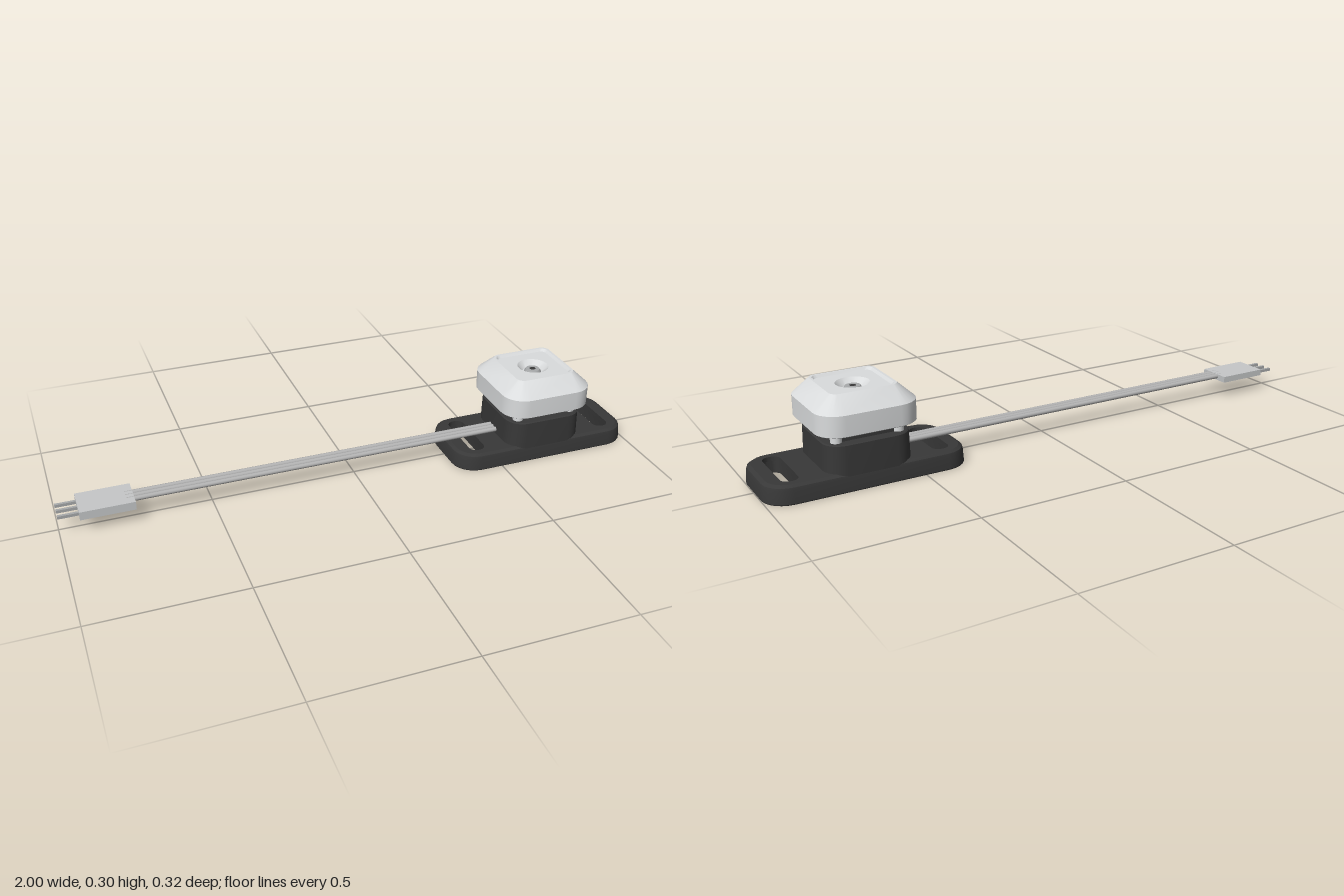
import * as THREE from 'three';
import { toCreasedNormals } from 'three/addons/utils/BufferGeometryUtils.js';

const mat = (name, color) => Object.assign(new THREE.MeshStandardMaterial({ color }), { name });

// Closed outline of a rounded rectangle, as [x, z] pairs
function outline(hx, hz, r, n = 6) {
  const pts = [];
  for (let c = 0; c < 4; c++) {
    const sx = c === 0 || c === 3 ? 1 : -1, sz = c < 2 ? 1 : -1;
    for (let i = 0; i <= n; i++) {
      const a = (c + i / n) * Math.PI / 2;
      pts.push([sx * (hx - r) + r * Math.cos(a), sz * (hz - r) + r * Math.sin(a)]);
    }
  }
  return pts;
}

// Skin over rounded-rectangle rings [hx, hz, cornerRadius, y]
function loft(rings) {
  const pos = [], index = [];
  for (const [hx, hz, r, y] of rings) for (const [x, z] of outline(hx, hz, r)) pos.push(x, y, z);
  const m = pos.length / 3 / rings.length;
  for (let i = 0; i < rings.length - 1; i++) {
    for (let j = 0; j < m; j++) {
      const k = (j + 1) % m, a = i * m + j, b = a + m, c = i * m + k, d = c + m;
      index.push(a, b, c, c, b, d);
    }
  }
  const g = new THREE.BufferGeometry();
  g.setAttribute('position', new THREE.Float32BufferAttribute(pos, 3));
  g.setIndex(index);
  return toCreasedNormals(g, 0.5);
}

// Upright slab with rounded-rectangle holes given as [cx, hx, hz, r]
function slab(hx, hz, r, y0, y1, holes = []) {
  const path = (o, cx = 0) => o.map(([x, z]) => new THREE.Vector2(x + cx, z));
  const s = new THREE.Shape(path(outline(hx, hz, r)));
  for (const [cx, a, b, c] of holes) s.holes.push(new THREE.Path(path(outline(a, b, c), cx)));
  const g = new THREE.ExtrudeGeometry(s, { depth: y1 - y0, bevelEnabled: false });
  g.rotateX(-Math.PI / 2).translate(0, y0, 0);
  return toCreasedNormals(g, 0.5);
}

export function createModel() {
  const dark = mat('black plastic', 0x383838);
  const white = mat('white plastic', 0xdadcdd);
  const grey = mat('grey connector', 0xc6c8c9);
  const wire = mat('wire grey', 0xb4b4b4);
  const metal = mat('screw metal', 0xa8aaab);

  const model = new THREE.Group();
  const head = new THREE.Group();
  head.name = 'buttonUnit';
  head.position.x = 0.67;
  model.add(head);

  const add = (parent, name, geo, material, x = 0, y = 0, z = 0) => {
    const mesh = new THREE.Mesh(geo, material);
    mesh.name = name;
    mesh.position.set(x, y, z);
    parent.add(mesh);
    return mesh;
  };
  const box = (parent, name, m, x0, x1, y0, y1, z0, z1) =>
    add(parent, name, new THREE.BoxGeometry(x1 - x0, y1 - y0, z1 - z0), m, (x0 + x1) / 2, (y0 + y1) / 2, (z0 + z1) / 2);

  // Hollow base: skirt, slotted top plate and centre pad
  add(head, 'baseSkirt', loft([
    [0.31, 0.125, 0.06, 0.046], [0.31, 0.125, 0.06, 0],
    [0.328, 0.143, 0.078, 0], [0.33, 0.145, 0.08, 0.003], [0.327, 0.142, 0.078, 0.045],
    [0.324, 0.14, 0.075, 0.053], [0.312, 0.13, 0.064, 0.06],
  ]), dark);
  const slots = [-0.245, 0.245].map(x => [x, 0.028, 0.107, 0.026]);
  add(head, 'baseTopPlate', slab(0.312, 0.13, 0.064, 0.045, 0.06, slots), dark);
  add(head, 'basePad', slab(0.14, 0.127, 0.03, 0.004, 0.046), dark);

  // Slot collars and ribs under the base
  for (const s of [-1, 1]) {
    add(head, 'slotCollar', slab(0.04, 0.119, 0.037, 0.006, 0.046, [[0, 0.028, 0.107, 0.026]]), dark, s * 0.245);
    for (const z of [-0.06, 0.06]) {
      box(head, 'innerRib', dark, s * 0.172 - 0.034, s * 0.172 + 0.034, 0.01, 0.046, z - 0.005, z + 0.005);
    }
    box(head, 'endRib', dark, s * 0.298 - 0.014, s * 0.298 + 0.014, 0.01, 0.046, -0.005, 0.005);
  }

  // Body block and neck
  add(head, 'body', loft([
    [0.141, 0.141, 0.06, 0.045], [0.139, 0.139, 0.06, 0.147], [0.135, 0.135, 0.056, 0.15], [0, 0, 0, 0.15],
  ]), dark);
  add(head, 'neck', slab(0.107, 0.107, 0.02, 0.149, 0.182), dark);

  // Guide posts, with the bottom screws on the same axes
  for (const x of [-0.1, 0.1]) {
    for (const z of [-0.1, 0.1]) {
      add(head, 'guidePost', new THREE.CylinderGeometry(0.018, 0.018, 0.036, 20), white, x, 0.166, z);
      add(head, 'bottomScrew', new THREE.CylinderGeometry(0.023, 0.02, 0.008, 20), metal, x, 0.005, z);
      for (const turn of [0, Math.PI / 2]) {
        add(head, 'screwSlot', new THREE.BoxGeometry(0.022, 0.002, 0.005), dark, x, 0.0012, z).rotation.y = turn;
      }
    }
  }

  // Cap with chamfered shoulders, shallow top recess and central pit
  add(head, 'cap', loft([
    [0, 0, 0, 0.181], [0.158, 0.158, 0.072, 0.181], [0.162, 0.162, 0.075, 0.184],
    [0.162, 0.162, 0.075, 0.25], [0.108, 0.108, 0.026, 0.3], [0.1, 0.1, 0.02, 0.3],
    [0.093, 0.093, 0.016, 0.292], [0.054, 0.054, 0.054, 0.292],
    [0.034, 0.034, 0.034, 0.272], [0, 0, 0, 0.272],
  ]), white);
  add(head, 'capScrew', new THREE.CylinderGeometry(0.024, 0.03, 0.01, 20), metal, 0, 0.277, 0);
  add(head, 'capScrewSocket', new THREE.CylinderGeometry(0.011, 0.011, 0.001, 6), dark, 0, 0.2823, 0);

  // Three-wire cable
  for (const z of [-0.019, 0, 0.019]) {
    const g = new THREE.CylinderGeometry(0.0085, 0.0085, 1.32, 12).rotateZ(Math.PI / 2);
    add(model, 'cableWire', g, wire, -0.12, 0.075, z);
  }

  // Connector with side lip and pins
  box(model, 'connectorBody', grey, -0.933, -0.755, 0.061, 0.083, -0.063, 0.053);
  box(model, 'connectorLip', grey, -0.933, -0.755, 0.054, 0.062, 0.042, 0.053);
  for (const z of [-0.038, -0.004, 0.031]) {
    box(model, 'connectorPin', metal, -1, -0.925, 0.062, 0.072, z - 0.005, z + 0.005);
  }
  return model;
}
